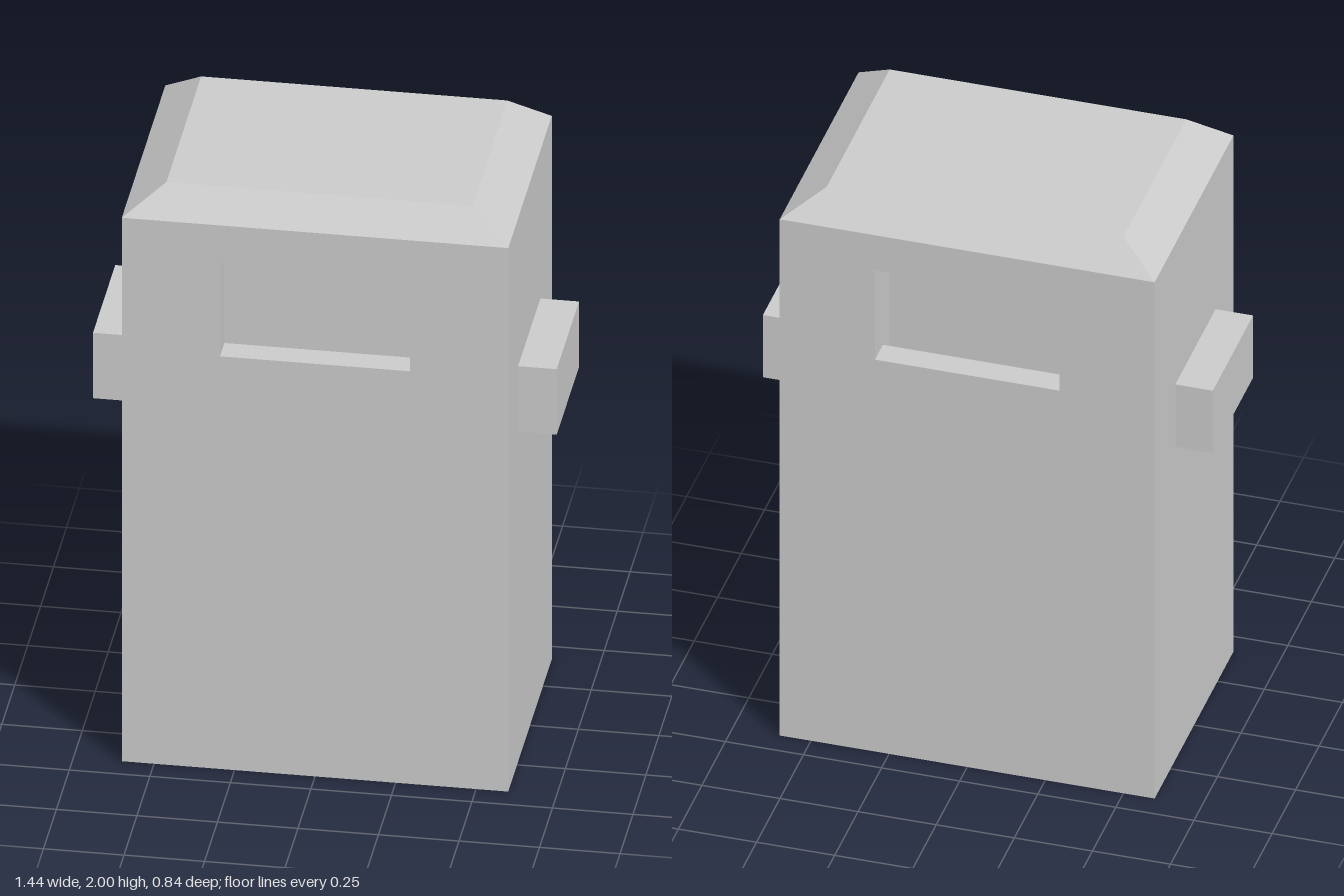
import * as THREE from 'three';

const W = 0.6, D = 0.42;        // outer half width and half depth
const IW = 0.475, ID = 0.335;   // inner half width and half depth
const EAVE = 1.91, TOP = 2;

const material = new THREE.MeshStandardMaterial({ color: 0xcccccc, flatShading: true });

function addMesh(group, name, geometry, x = 0, y = 0, z = 0) {
  const mesh = new THREE.Mesh(geometry, material);
  mesh.name = name;
  mesh.position.set(x, y, z);
  group.add(mesh);
  return mesh;
}

function rectangle(Type, x0, y0, x1, y1) {
  return new Type([[x0, y0], [x1, y0], [x1, y1], [x0, y1]].map(([x, y]) => new THREE.Vector2(x, y)));
}

// Skins a series of rectangular rings, each given as [half width, half depth, y]
function loftRings(rings) {
  const corners = [[1, 1], [1, -1], [-1, -1], [-1, 1]];
  const point = ([w, d, y], i) => [corners[i % 4][0] * w, y, corners[i % 4][1] * d];
  const positions = [];
  for (let r = 0; r < rings.length - 1; r++) {
    const [a, b] = [rings[r], rings[r + 1]];
    for (let i = 0; i < 4; i++) {
      // rings of zero size collapse to a point and need one triangle per side
      if (b[0] > 0) positions.push(...point(a, i), ...point(b, i + 1), ...point(b, i));
      if (a[0] > 0) positions.push(...point(a, i), ...point(a, i + 1), ...point(b, i + 1));
    }
  }
  const geometry = new THREE.BufferGeometry();
  geometry.setAttribute('position', new THREE.Float32BufferAttribute(positions, 3));
  geometry.computeVertexNormals();
  return geometry;
}

export function createModel() {
  const group = new THREE.Group();
  group.name = 'booth';

  // Front and back walls, each with a window opening
  const wall = rectangle(THREE.Shape, -W, 0, W, EAVE);
  wall.holes.push(rectangle(THREE.Path, -0.295, 1.45, 0.295, 1.78));
  const wallGeometry = new THREE.ExtrudeGeometry(wall, { depth: D - ID, bevelEnabled: false });
  addMesh(group, 'frontWall', wallGeometry, 0, 0, ID);
  addMesh(group, 'backWall', wallGeometry, 0, 0, -D);

  // Side walls with a block on the outside of each
  const sideGeometry = new THREE.BoxGeometry(W - IW, EAVE, ID * 2);
  const blockGeometry = new THREE.BoxGeometry(0.12, 0.23, 0.43);
  for (const [side, label] of [[1, 'left'], [-1, 'right']]) {
    addMesh(group, label + 'Wall', sideGeometry, side * (W + IW) / 2, EAVE / 2, 0);
    addMesh(group, label + 'SideBlock', blockGeometry, side * 0.66, 1.275, 0.015);
  }

  // Floor plate
  addMesh(group, 'floor', new THREE.BoxGeometry(IW * 2, 0.01, ID * 2), 0, 0.005, 0);

  // Bevelled roof, hollow underneath
  addMesh(group, 'roof', loftRings([
    [0, 0, TOP - 0.005], [IW, ID, TOP - 0.005], [IW, ID, EAVE],
    [W, D, EAVE], [IW, ID, TOP], [0, 0, TOP],
  ]));

  return group;
}
